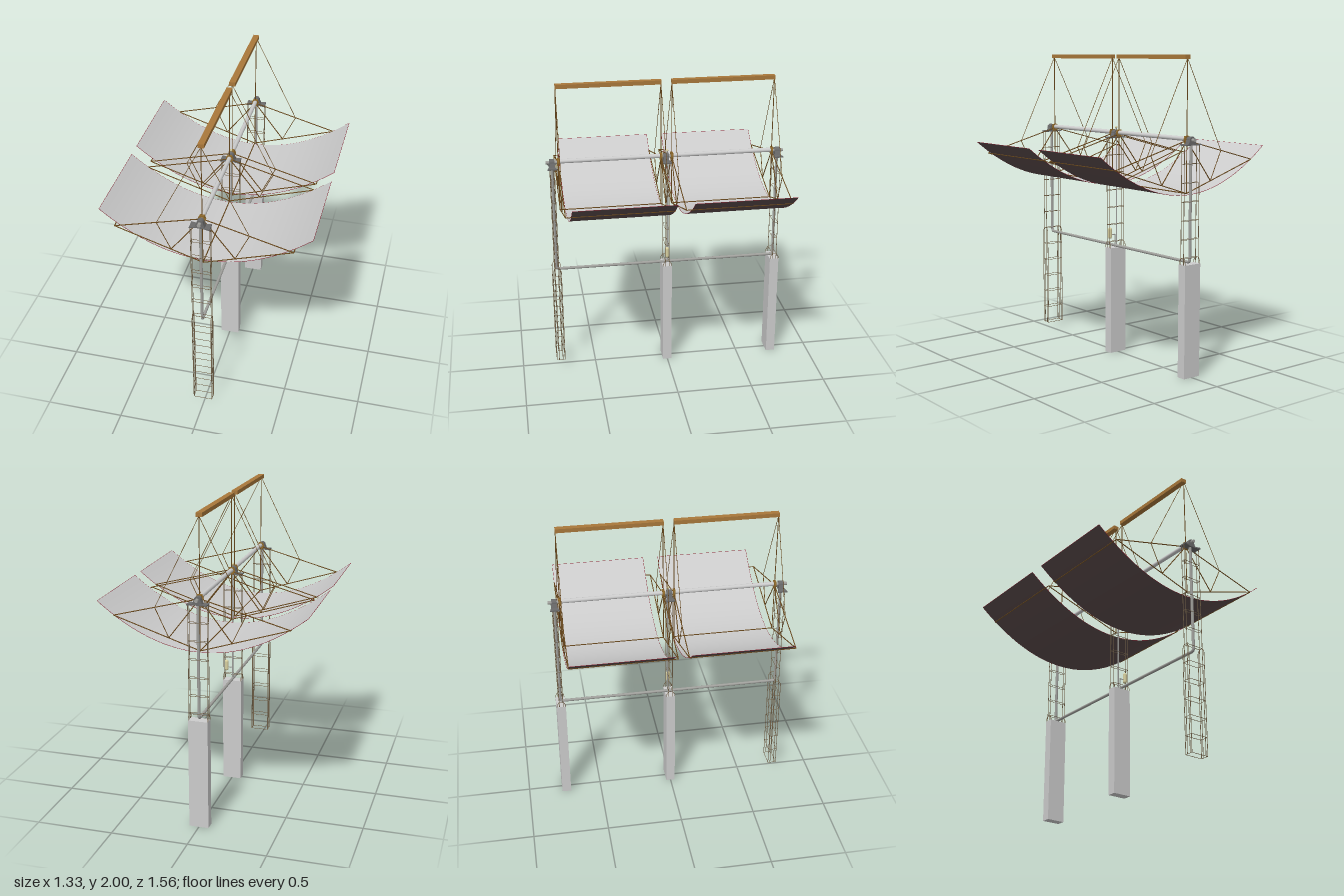
import * as THREE from 'three';

const material = (color, extra = {}) => new THREE.MeshStandardMaterial({ color, ...extra });
const grey = material(0xcccccc);
const darkGrey = material(0x6a6a6a);
const steel = material(0xa0a09c);
const timber = material(0xa8773a);
const brass = material(0x8f6a2c);
const bronze = material(0x6b4a1e);
const rebar = material(0x74634a);
const cream = material(0xd8d0a0);
const red = material(0x8a2030);
const mirrorBack = material(0x5a4a4a);

const UP = new THREE.Vector3(0, 1, 0);
const PITCH = 0.738;      // distance between posts
const AXIS_Y = 1.487;     // height of the rotation axis

function add(parent, name, geometry, mat, x = 0, y = 0, z = 0) {
  const mesh = new THREE.Mesh(geometry, mat);
  mesh.name = name;
  mesh.position.set(x, y, z);
  parent.add(mesh);
  return mesh;
}

function group(parent, name) {
  const g = new THREE.Group();
  g.name = name;
  parent.add(g);
  return g;
}

const box = (parent, name, w, h, d, mat, x, y, z) =>
  add(parent, name, new THREE.BoxGeometry(w, h, d), mat, x, y, z);

// Round bar between two points
function rod(parent, name, a, b, r, mat, sides = 6) {
  const p = new THREE.Vector3(...a), q = new THREE.Vector3(...b);
  const dir = q.clone().sub(p);
  const mesh = add(parent, name, new THREE.CylinderGeometry(r, r, dir.length(), sides), mat);
  mesh.position.copy(p).add(q).multiplyScalar(0.5);
  mesh.quaternion.setFromUnitVectors(UP, dir.normalize());
  return mesh;
}

const troughY = x => 1.146 + 0.617 * x * x;

// Parabolic sheet, facing up or down
function sheet(z0, z1, drop, down) {
  const geo = new THREE.PlaneGeometry(1.324, z1 - z0, 40, 1);
  geo.rotateX(down ? Math.PI / 2 : -Math.PI / 2);
  geo.translate(0, 0, (z0 + z1) / 2);
  const pos = geo.attributes.position;
  for (let i = 0; i < pos.count; i++) pos.setY(i, troughY(pos.getX(i)) - drop);
  geo.computeVertexNormals();
  return geo;
}

// Triangulated frame standing across the trough
function endFrame(parent, z) {
  const frame = group(parent, 'endFrame');
  const r = 0.0032;
  const bottom = [0, 1.155, z], hub = [0, AXIS_Y - 0.005, z], apex = [0, 1.98, z];
  rod(frame, 'mast', bottom, apex, 0.0028, bronze);
  for (const s of [-1, 1]) {
    const tip = [s * 0.556, 1.333, z];
    const upper = [s * 0.287, 1.404, z];
    const lower = [s * 0.2, 1.22, z];
    rod(frame, 'upperChord', hub, tip, r, bronze);
    rod(frame, 'lowerChord', bottom, tip, r, bronze);
    rod(frame, 'brace', hub, lower, r, bronze);
    rod(frame, 'brace', upper, lower, 0.0024, bronze);
    rod(frame, 'stay', upper, apex, 0.0018, bronze);
  }
  // Clamp flange around the torque tube
  const flange = add(frame, 'flange', new THREE.CylinderGeometry(0.024, 0.024, 0.008, 20), brass, 0, AXIS_Y, z);
  flange.rotation.x = Math.PI / 2;
  box(frame, 'clampBlock', 0.03, 0.045, 0.016, brass, 0, AXIS_Y, z);
}

function collector(parent, offset) {
  const unit = group(parent, 'collector');
  unit.position.z = offset;
  const z0 = 0.032, z1 = 0.665, zEnd = 0.7;
  add(unit, 'mirrorFace', sheet(z0, z1, 0, false), grey);
  add(unit, 'mirrorBack', sheet(z0, z1, 0.002, true), mirrorBack);

  // Thin rim around the sheet
  for (const z of [z0, z1]) {
    const pts = Array.from({ length: 21 }, (_, i) => {
      const x = -0.662 + i * 0.0662;
      return new THREE.Vector3(x, troughY(x) - 0.001, z);
    });
    add(unit, 'rim', new THREE.TubeGeometry(new THREE.CatmullRomCurve3(pts), 40, 0.0014, 5), red);
  }
  for (const s of [-1, 1]) {
    const y = troughY(0.662) - 0.001;
    rod(unit, 'rim', [s * 0.662, y, z0], [s * 0.662, y, z1], 0.0014, red, 5);
    rod(unit, 'sideRail', [s * 0.556, 1.333, z0], [s * 0.556, 1.333, zEnd], 0.0032, bronze);
  }
  rod(unit, 'bottomRail', [0, 1.155, z0], [0, 1.155, zEnd], 0.0035, bronze);

  endFrame(unit, z0);
  endFrame(unit, zEnd);
  rod(unit, 'torqueTube', [0, AXIS_Y + 0.004, z0], [0, AXIS_Y + 0.004, zEnd], 0.014, grey, 20);
  box(unit, 'topBeam', 0.038, 0.026, zEnd - z0 + 0.004, timber, 0, 1.987, (z0 + zEnd) / 2);
}

// Bearing on a waisted plate at the top of a post
function bearing(parent) {
  const b = group(parent, 'bearing');
  const plate = new THREE.Shape();
  [[-0.063, -0.031], [-0.02, -0.02], [0.02, -0.02], [0.063, -0.031],
    [0.063, 0.031], [0.02, 0.02], [-0.02, 0.02], [-0.063, 0.031]]
    .forEach(([x, y], i) => (i ? plate.lineTo(x, y) : plate.moveTo(x, y)));
  const plateGeo = new THREE.ExtrudeGeometry(plate, { depth: 0.008, bevelEnabled: false });
  plateGeo.rotateX(-Math.PI / 2);
  add(b, 'headPlate', plateGeo, darkGrey, 0, 1.454, 0);
  const housing = new THREE.Shape();
  housing.moveTo(-0.032, 1.46);
  housing.lineTo(0.032, 1.46);
  housing.lineTo(0.021, AXIS_Y);
  housing.absarc(0, AXIS_Y, 0.021, 0, Math.PI);
  housing.closePath();
  const housingGeo = new THREE.ExtrudeGeometry(housing, { depth: 0.034, bevelEnabled: false });
  add(b, 'housing', housingGeo, darkGrey, 0, 0, -0.017);
  rod(b, 'journal', [0, AXIS_Y, -0.04], [0, AXIS_Y, 0.04], 0.011, steel, 16);
}

// Slim lattice tower rising from a wider cage, cast in concrete or bare
function post(parent, z, cast) {
  const p = group(parent, 'post');
  p.position.z = z;
  const base = cast ? 0.7 : 0.06;
  const X = 0.061, inner = 0.0125, outer = 0.0275, r = 0.002;
  for (const sx of [-X, X]) for (const s of [-1, 1]) {
    rod(p, 'towerBar', [sx, base, s * inner], [sx, 1.458, s * inner], r, rebar);
    rod(p, 'cageBar', [sx, base, s * outer], [sx, 0.735, s * outer], r, rebar);
    rod(p, 'cageTaper', [sx, 0.735, s * outer], [sx, 0.76, s * inner], r, rebar);
  }
  for (let i = 0; i <= 12; i++) {
    const y = 0.06 + i * 0.1165;
    if (y < base) continue;
    const d = y < 0.75 ? outer : inner;
    for (const s of [-1, 1]) {
      rod(p, 'crossTie', [-X, y, s * d], [X, y, s * d], r * 0.8, rebar);
      rod(p, 'sideTie', [s * X, y, -d], [s * X, y, d], r * 0.8, rebar);
    }
  }
  if (cast) box(p, 'concreteFooting', 0.126, 0.72, 0.06, grey, 0, 0.36, 0);
  bearing(p);
}

export function createModel() {
  const model = new THREE.Group();
  model.name = 'troughCollector';

  post(model, PITCH + 0.003, false);
  post(model, 0, true);
  post(model, -PITCH - 0.003, true);

  collector(model, 0);
  collector(model, -PITCH);

  // Return pipe: down one end post, along the footings, up the other
  const zp = 0.743, yp = 0.73, bend = 0.02;
  const path = new THREE.CurvePath();
  const v = (y, z) => new THREE.Vector3(0, y, z);
  path.add(new THREE.LineCurve3(v(1.47, zp), v(yp + bend, zp)));
  path.add(new THREE.QuadraticBezierCurve3(v(yp + bend, zp), v(yp, zp), v(yp, zp - bend)));
  path.add(new THREE.LineCurve3(v(yp, zp - bend), v(yp, bend - zp)));
  path.add(new THREE.QuadraticBezierCurve3(v(yp, bend - zp), v(yp, -zp), v(yp + bend, -zp)));
  path.add(new THREE.LineCurve3(v(yp + bend, -zp), v(1.47, -zp)));
  add(model, 'returnPipe', new THREE.TubeGeometry(path, 400, 0.0095, 12), steel);
  for (const s of [-1, 1]) {
    box(model, 'pipeHead', 0.022, 0.045, 0.026, steel, 0, 1.477, s * zp);
  }

  // Control unit on the middle post
  const control = group(model, 'controlUnit');
  add(control, 'controlBody', new THREE.CapsuleGeometry(0.013, 0.05, 6, 16), cream, 0.046, 0.817, 0);
  rod(control, 'controlArm', [0.005, 0.805, 0], [0.046, 0.805, 0], 0.003, steel, 8);
  rod(control, 'controlStem', [0.005, 0.72, 0], [0.005, 0.808, 0], 0.003, steel, 8);

  // Drive and sensor on the middle bearing
  rod(model, 'driveRod', [0, 0.73, -0.012], [0, 1.46, -0.012], 0.004, steel, 8);
  rod(model, 'sensorStem', [0, 1.49, -0.008], [0, 1.52, -0.008], 0.004, steel, 8);
  add(model, 'sensorHead', new THREE.SphereGeometry(0.008, 12, 8), cream, 0, 1.525, -0.008);

  return model;
}
